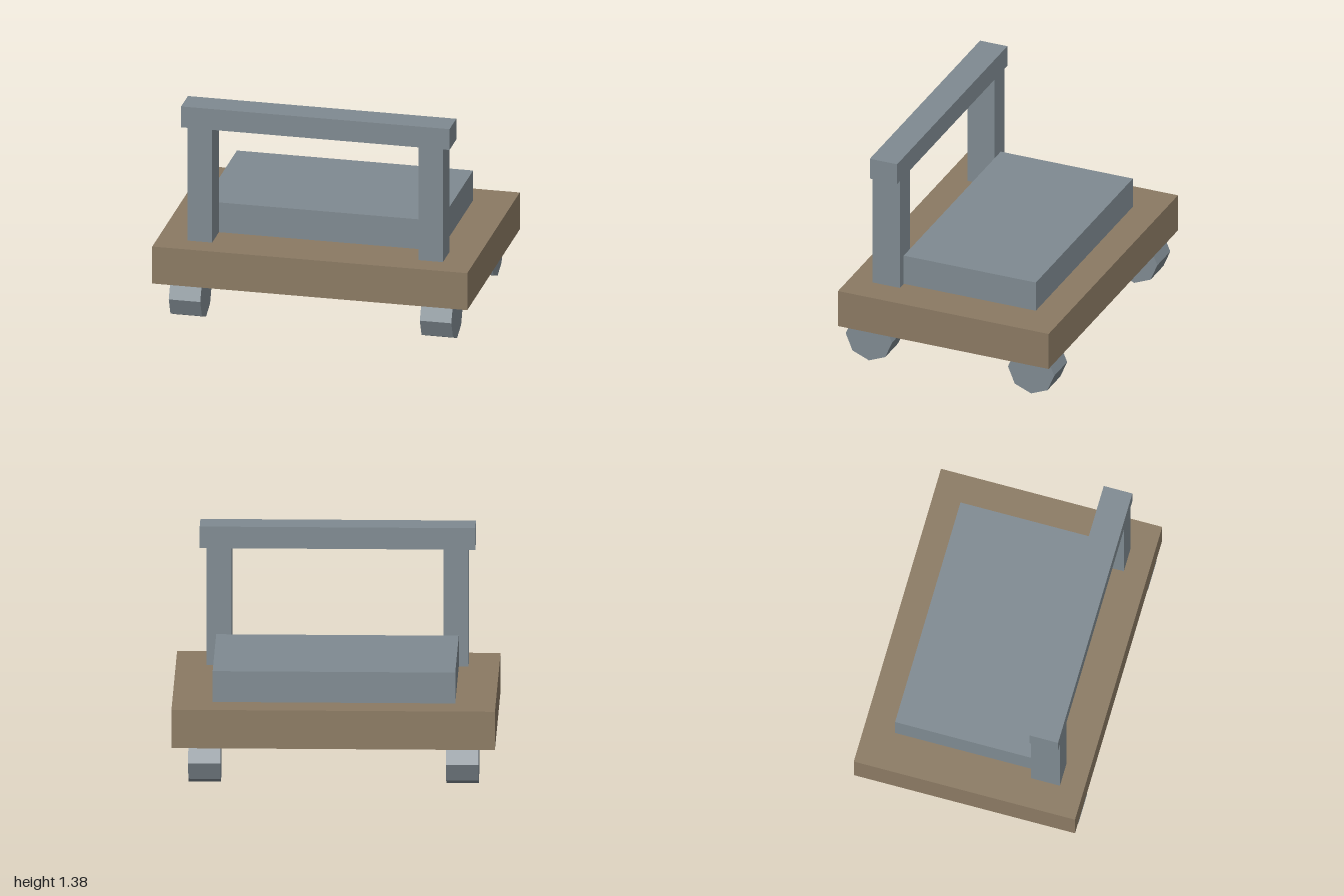
import * as THREE from 'three';

export function createModel() {
  const model = new THREE.Group();
  model.name = 'platformCart';
  const wood = new THREE.MeshStandardMaterial({ color: 0x8b7a63 });
  wood.name = 'brown wood';
  const metal = new THREE.MeshStandardMaterial({ color: 0x7f8a91 });
  metal.name = 'blue grey metal';

  const add = (name, geometry, material, x, y, z) => {
    const mesh = new THREE.Mesh(geometry, material);
    mesh.name = name;
    mesh.position.set(x, y, z);
    model.add(mesh);
  };
  // Box given by its lower and upper corners
  const box = (name, material, [x0, y0, z0], [x1, y1, z1]) =>
    add(name, new THREE.BoxGeometry(x1 - x0, y1 - y0, z1 - z0), material,
      (x0 + x1) / 2, (y0 + y1) / 2, (z0 + z1) / 2);

  // Deck and raised bed
  box('deck', wood, [-1, 0.255, -0.71], [1, 0.5, 0.71]);
  box('bed', metal, [-0.75, 0.5, -0.515], [0.75, 0.697, 0.376]);

  // Push handle: two posts and a crossbar
  box('leftPost', metal, [0.655, 0.5, 0.376], [0.81, 1.247, 0.56]);
  box('rightPost', metal, [-0.81, 0.5, 0.376], [-0.655, 1.247, 0.56]);
  box('handleBar', metal, [-0.852, 1.247, 0.376], [0.852, 1.385, 0.56]);

  // Eight-sided wheels, tucked into the underside of the deck
  const wheel = new THREE.CylinderGeometry(0.156, 0.156, 0.2, 8).rotateZ(Math.PI / 2).toNonIndexed();
  wheel.computeVertexNormals();
  for (const [side, x] of [['Left', 0.797], ['Right', -0.797]])
    for (const [end, z] of [['front', 0.547], ['back', -0.547]])
      add(`${end}${side}Wheel`, wheel, metal, x, 0.156, z);

  return model;
}
